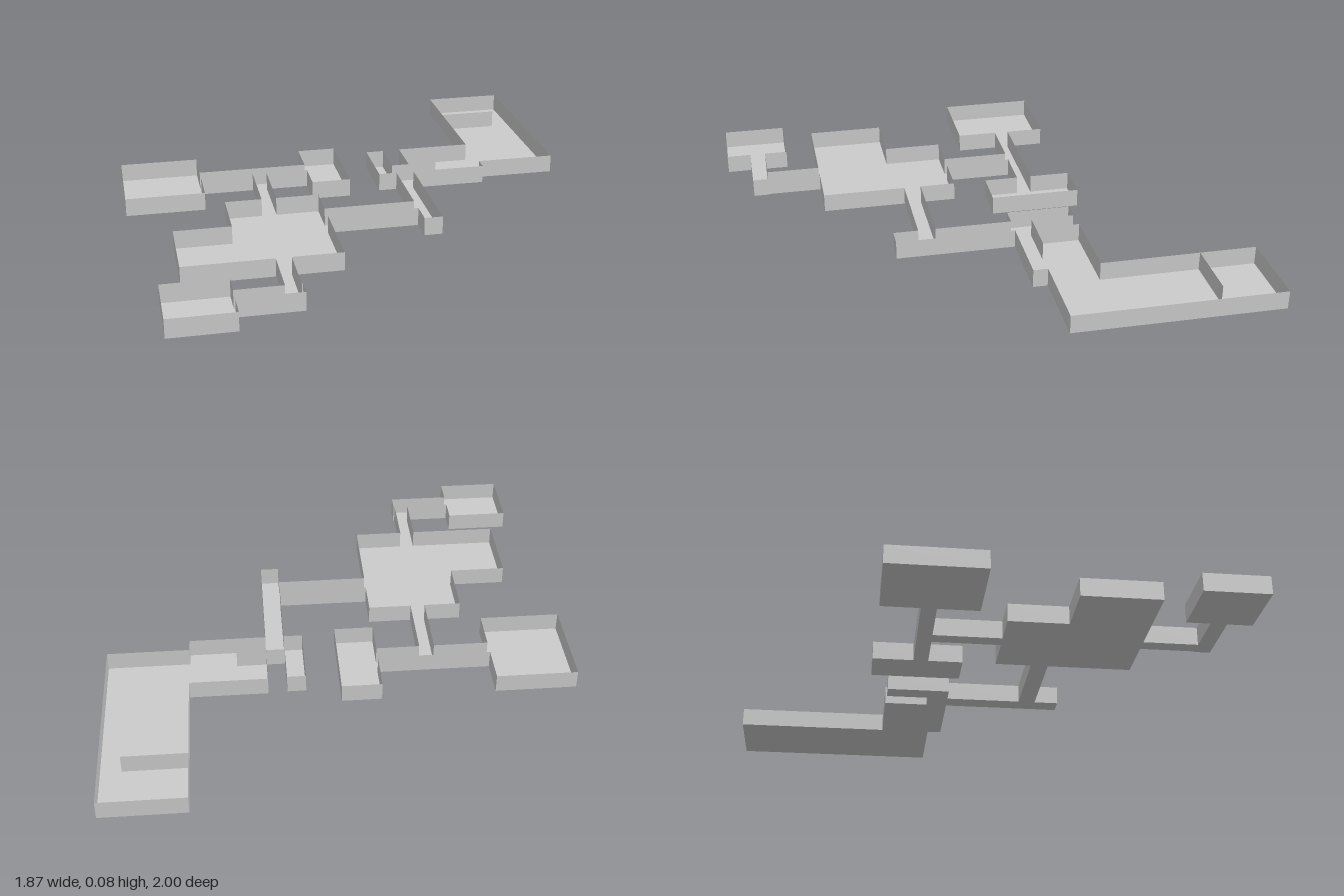
import * as THREE from 'three';
import { mergeGeometries } from 'three/addons/utils/BufferGeometryUtils.js';

const H = 0.075; // wall height

// Floor areas as name, x0, z0, x1, z1; they touch but do not overlap
const AREAS = [
  ['backRightRoom', -0.935, -0.43, -0.61, -0.05],
  ['backCorridor', -0.61, -0.275, -0.155, -0.215],
  ['backMiddleRoom', -0.155, -0.44, 0.005, -0.075],
  ['linkCorridor', -0.39, -0.215, -0.33, 0.06],
  ['mainRoomBack', -0.54, 0.06, -0.155, 0.3],
  ['mainRoomFront', -0.77, 0.3, -0.155, 0.615],
  ['frontCorridor', -0.415, 0.615, -0.355, 0.835],
  ['frontCorridorTurn', -0.6, 0.835, -0.35, 0.9],
  ['frontRoom', -0.855, 0.74, -0.6, 1],
  ['sideCorridor', -0.155, 0.205, 0.215, 0.275],
  ['longCorridor', 0.215, -0.19, 0.29, 0.375],
  ['stubCorridor', 0.14, -0.365, 0.215, -0.105],
  ['leftRoom', 0.29, -0.37, 0.6, -0.105],
  ['hall', 0.6, -1, 0.93, -0.163],
];

const material = new THREE.MeshStandardMaterial({
  color: 0xcccccc, flatShading: true, side: THREE.DoubleSide,
});

// Upright thin wall; alongX runs it along x at z = at, otherwise along z at x = at
function wall(alongX, at, from, to) {
  const g = new THREE.PlaneGeometry(to - from, H);
  const mid = (from + to) / 2;
  if (alongX) g.translate(mid, H / 2, at);
  else g.rotateY(Math.PI / 2).translate(at, H / 2, mid);
  return g;
}

// Remove the span [a, b] from a list of spans
function cut(spans, a, b) {
  return spans
    .flatMap(([s, e]) => [[s, Math.min(e, a)], [Math.max(s, b), e]])
    .filter(([s, e]) => e - s > 1e-4);
}

// Walls of one side, left open wherever a neighbouring area adjoins it
function sideWalls(alongX, at, from, to, atHigh) {
  let spans = [[from, to]];
  for (const [, x0, z0, x1, z1] of AREAS) {
    const facing = alongX ? (atHigh ? z0 : z1) : (atHigh ? x0 : x1);
    const [a, b] = alongX ? [x0, x1] : [z0, z1];
    if (Math.abs(facing - at) < 1e-4 && a < to && b > from) spans = cut(spans, a, b);
  }
  return spans.map(([s, e]) => wall(alongX, at, s, e));
}

export function createModel() {
  const model = new THREE.Group();
  model.name = 'floorPlan';
  const add = (name, geometry, parent) => {
    const mesh = new THREE.Mesh(geometry, material);
    mesh.name = name;
    parent.add(mesh);
  };

  // Rooms and corridors
  for (const [name, x0, z0, x1, z1] of AREAS) {
    const area = new THREE.Group();
    area.name = name;
    const floor = new THREE.PlaneGeometry(x1 - x0, z1 - z0).rotateX(-Math.PI / 2);
    add('floor', floor.translate((x0 + x1) / 2, 0, (z0 + z1) / 2), area);
    add('walls', mergeGeometries([
      ...sideWalls(true, z0, x0, x1, false),
      ...sideWalls(true, z1, x0, x1, true),
      ...sideWalls(false, x0, z0, z1, false),
      ...sideWalls(false, x1, z0, z1, true),
    ]), area);
    model.add(area);
  }

  // Free-standing partitions
  add('hallPartition', wall(true, -0.77, 0.6, 0.85), model);
  add('leftRoomPartition', wall(true, -0.19, 0.29, 0.41), model);
  return model;
}
